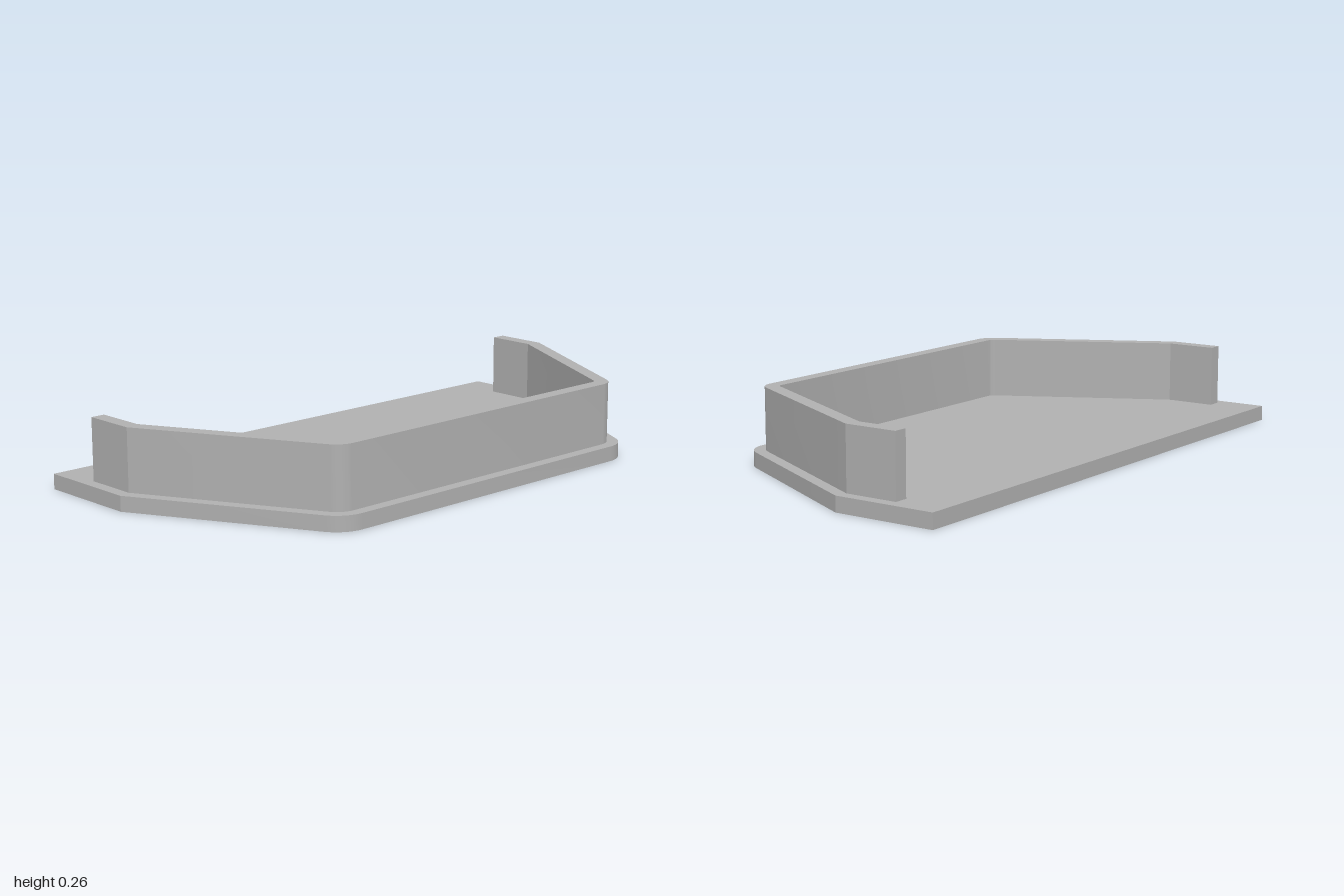
import * as THREE from 'three';
import { toCreasedNormals } from 'three/addons/utils/BufferGeometryUtils.js';

const HALF_WIDTH = 1, FRONT = 0.512, BACK = -0.512;
const SHOULDER_Z = -0.15, CORNER_X = 0.652, CORNER_RADIUS = 0.115;
const PLATE_TOP = 0.052, WALL_TOP = 0.264, WALL_BACK = -0.347;

// Angle between the slanted side and the front edge
const TURN = Math.atan2(FRONT - SHOULDER_Z, HALF_WIDTH - CORNER_X);

// Outline inset by d, from the left back end round the front to the right back end
function outline(d, backZ) {
  const r = CORNER_RADIUS - d;
  const shoulder = SHOULDER_Z - d * Math.tan((Math.PI / 2 - TURN) / 2);
  const cx = CORNER_X - CORNER_RADIUS * Math.tan(TURN / 2);
  const cz = FRONT - CORNER_RADIUS;
  const half = [
    new THREE.Vector2(HALF_WIDTH - d, backZ),
    new THREE.Vector2(HALF_WIDTH - d, shoulder),
  ];
  const steps = 12;
  for (let i = 0; i <= steps; i++) {
    const a = TURN * (1 - i / steps);
    half.push(new THREE.Vector2(cx + r * Math.sin(a), cz + r * Math.cos(a)));
  }
  const mirrored = half.map((p) => new THREE.Vector2(-p.x, p.y)).reverse();
  return [...half, ...mirrored];
}

// Upright solid from an outline in x and z
function slab(name, points, bottom, top, material) {
  const geometry = new THREE.ExtrudeGeometry(new THREE.Shape(points), {
    depth: top - bottom,
    bevelEnabled: false,
  });
  geometry.rotateX(Math.PI / 2).translate(0, top, 0);
  const mesh = new THREE.Mesh(toCreasedNormals(geometry, 0.3), material);
  mesh.name = name;
  return mesh;
}

export function createModel() {
  const model = new THREE.Group();
  model.name = 'coverPlate';
  const grey = new THREE.MeshStandardMaterial({ color: 0xb0b0b0 });
  grey.name = 'light grey';

  // Flat base with rounded front corners
  model.add(slab('basePlate', outline(0, BACK), 0, PLATE_TOP, grey));

  // Thin rim following the sides and front, open at the back
  const rim = [...outline(0.04, WALL_BACK), ...outline(0.089, WALL_BACK).reverse()];
  model.add(slab('rimWall', rim, PLATE_TOP, WALL_TOP, grey));

  return model;
}
